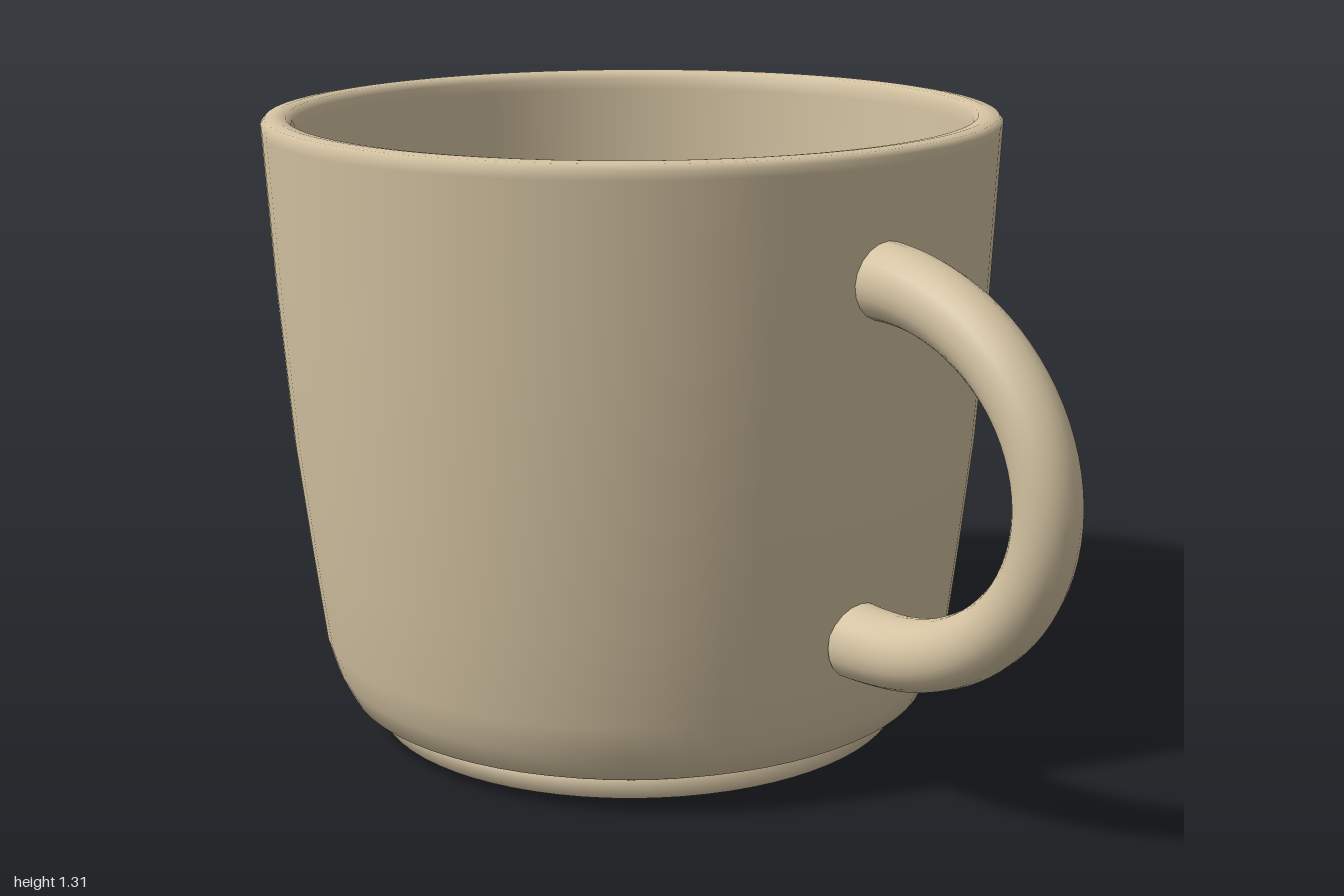
import * as THREE from 'three';

const CUP_X = -0.235;

// A tube along an arc, thicker towards both ends
function taperedTube(curve, midRadius, endRadius, segments, sides) {
  const geometry = new THREE.TubeGeometry(curve, segments, midRadius, sides, false);
  const pos = geometry.attributes.position;
  const v = new THREE.Vector3();
  for (let i = 0; i <= segments; i++) {
    const t = i / segments;
    const centre = curve.getPointAt(t);
    const scale = 1 + (endRadius / midRadius - 1) * Math.pow(Math.abs(2 * t - 1), 2);
    for (let j = 0; j <= sides; j++) {
      const k = i * (sides + 1) + j;
      v.fromBufferAttribute(pos, k).sub(centre).multiplyScalar(scale).add(centre);
      pos.setXYZ(k, v.x, v.y, v.z);
    }
  }
  geometry.computeBoundingSphere();
  return geometry;
}

export function createModel() {
  const model = new THREE.Group();
  model.name = 'mug';
  const ceramic = new THREE.MeshStandardMaterial({ color: 0xd3c2a1 });
  ceramic.name = 'beige ceramic';

  const add = (name, geometry, parent = model) => {
    const mesh = new THREE.Mesh(geometry, ceramic);
    mesh.name = name;
    parent.add(mesh);
    return mesh;
  };
  const lathe = (points) =>
    new THREE.LatheGeometry(points.map(([r, y]) => new THREE.Vector2(r, y)), 72);

  // Foot ring with a flat underside
  add('footUnderside', lathe([[0, 0], [0.535, 0]])).position.x = CUP_X;
  add('foot', lathe([[0.535, 0], [0.568, 0.012], [0.57, 0.05], [0.55, 0.056]])).position.x = CUP_X;

  // Outer wall, rounded rim, inner wall and floor in one profile
  add('body', lathe([
    [0.55, 0.052], [0.572, 0.053], [0.632, 0.08], [0.658, 0.135], [0.678, 0.205],
    [0.701, 0.4], [0.726, 0.63], [0.748, 0.95], [0.764, 1.28],
    [0.765, 1.298], [0.756, 1.309], [0.735, 1.312], [0.714, 1.309], [0.704, 1.295],
    [0.702, 1.27], [0.686, 0.95], [0.664, 0.63], [0.639, 0.4],
    [0.617, 0.22], [0.595, 0.155], [0.55, 0.12], [0.45, 0.11], [0, 0.11],
  ])).position.x = CUP_X;

  // Handle: a half ellipse with short straight ends set into the wall
  const handle = new THREE.Group();
  handle.name = 'handle';
  model.add(handle);
  const path = [new THREE.Vector3(0.457, 0.333, 0)];
  for (let i = 0; i <= 16; i++) {
    const a = -Math.PI / 2 + (Math.PI * i) / 16;
    path.push(new THREE.Vector3(0.5 + 0.436 * Math.cos(a), 0.698 + 0.365 * Math.sin(a), 0));
  }
  path.push(new THREE.Vector3(0.48, 1.063, 0));
  const curve = new THREE.CatmullRomCurve3(path);
  add('handleLoop', taperedTube(curve, 0.064, 0.078, 48, 20), handle);

  // Closed handle ends
  for (const end of [path[0], path[path.length - 1]]) {
    const cap = add('handleEnd', new THREE.CircleGeometry(0.078, 20), handle);
    cap.rotation.y = -Math.PI / 2;
    cap.position.copy(end);
  }
  return model;
}
